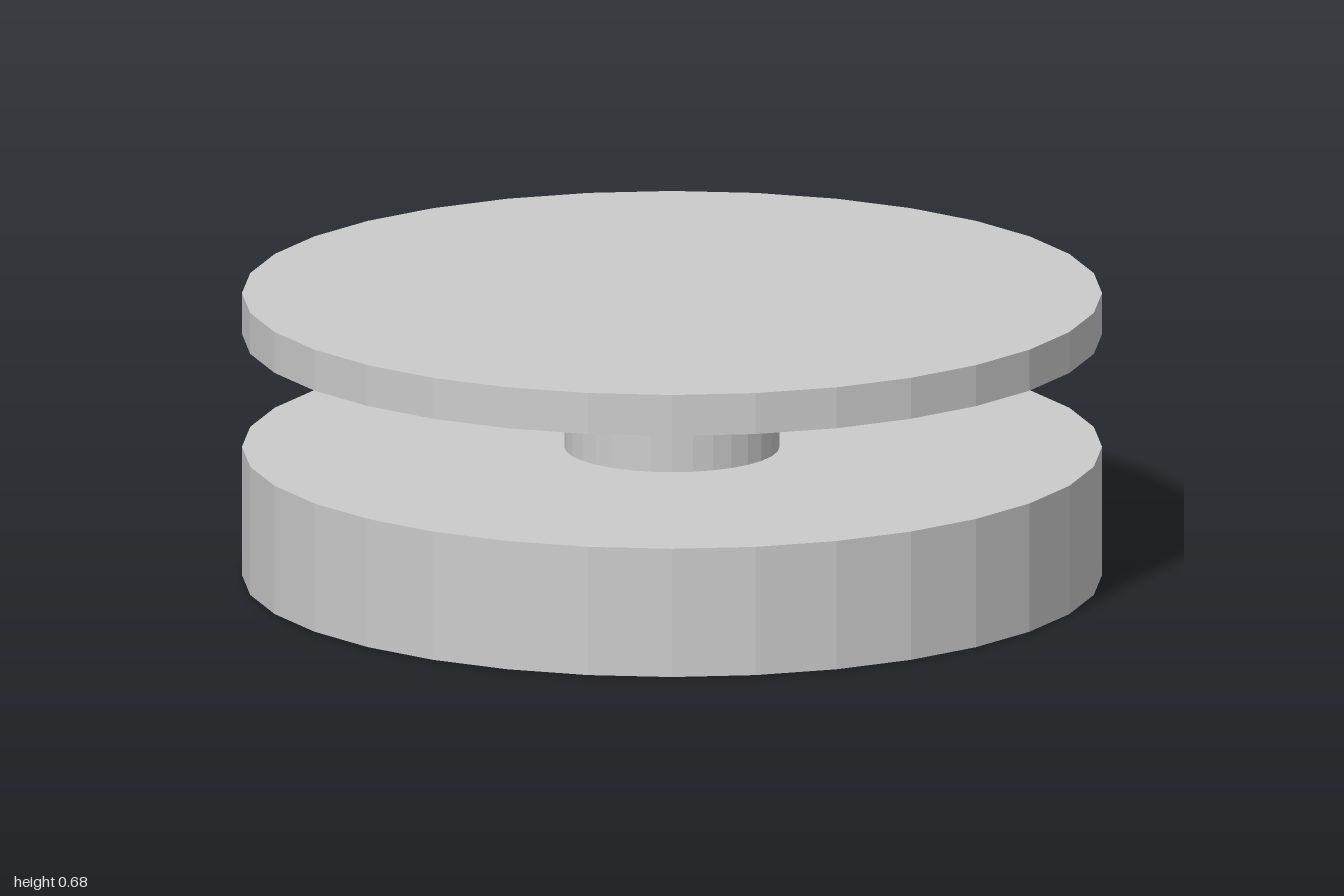
import * as THREE from 'three';

const SIDES = 32;

export function createModel() {
  const group = new THREE.Group();
  const material = new THREE.MeshStandardMaterial({ color: 0xcccccc, flatShading: true });

  // Adds a faceted disc spanning bottom to top
  const addDisc = (name, radius, bottom, top) => {
    const height = top - bottom;
    const disc = new THREE.Mesh(new THREE.CylinderGeometry(radius, radius, height, SIDES), material);
    disc.name = name;
    disc.position.y = bottom + height / 2;
    group.add(disc);
  };

  addDisc('base', 1, 0, 0.307);
  addDisc('stem', 0.25, 0.307, 0.577);
  addDisc('topPlate', 1, 0.577, 0.675);

  return group;
}
